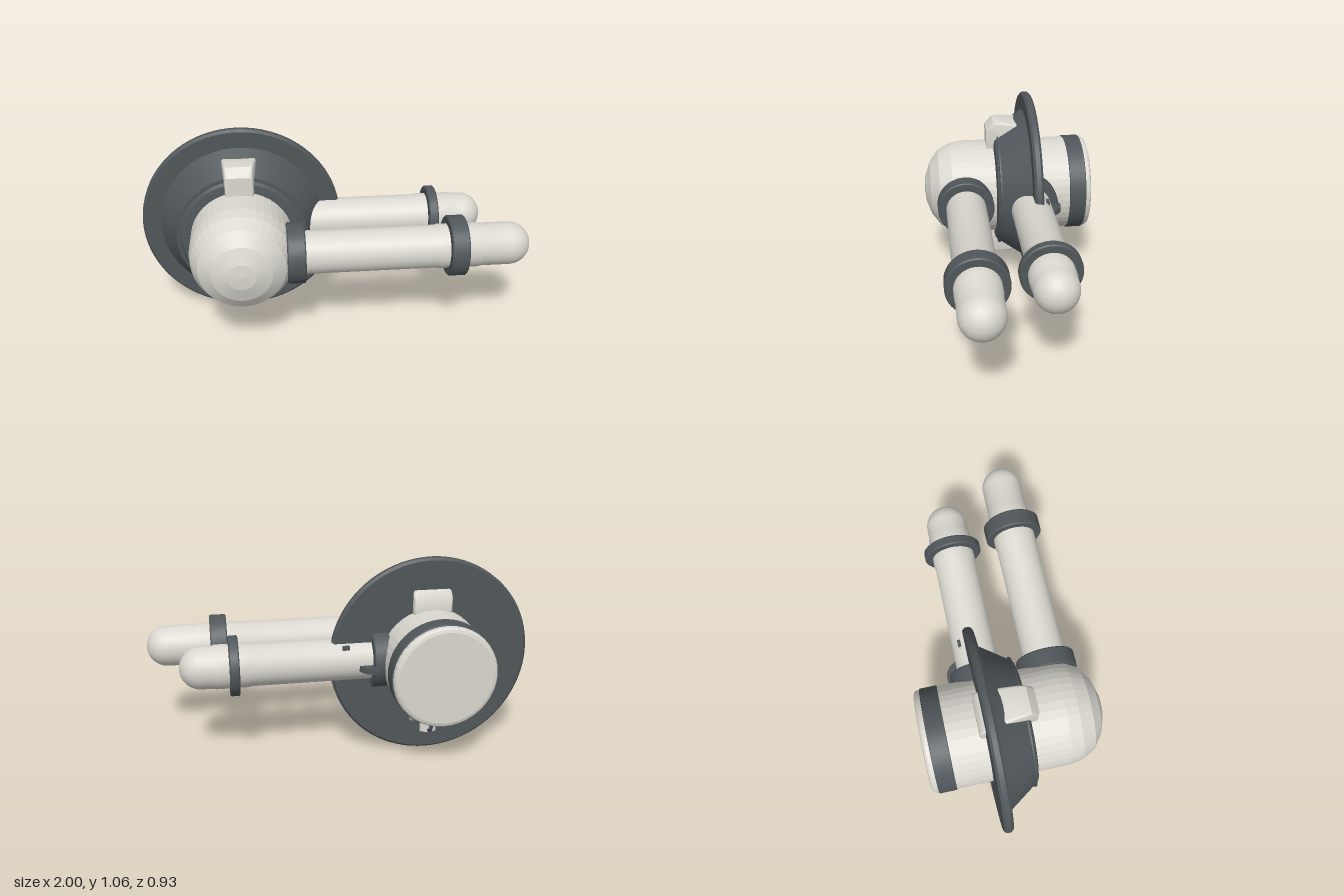
import * as THREE from 'three';
import { toCreasedNormals } from 'three/addons/utils/BufferGeometryUtils.js';

const CX = -0.47, CY = 0.535; // axis of the main body

export function createModel() {
  const light = new THREE.MeshStandardMaterial({ color: 0xdad8d0 });
  light.name = 'pale shell';
  const dark = new THREE.MeshStandardMaterial({ color: 0x50565a });
  dark.name = 'dark trim';
  const group = new THREE.Group();

  const add = (name, geo, mat, parent = group) => {
    const mesh = new THREE.Mesh(geo, mat);
    mesh.name = name;
    parent.add(mesh);
    return mesh;
  };
  // Solid of revolution from [radius, position] pairs, position ascending
  const turned = (pts, segs, crease = 0.6) => toCreasedNormals(
    new THREE.LatheGeometry(pts.map(([r, p]) => new THREE.Vector2(r, p)), segs), crease);
  const alongZ = (name, pts, mat, segs = 64, crease = 0.6) =>
    add(name, turned(pts, segs, crease).rotateX(Math.PI / 2).translate(CX, CY, 0), mat);
  // Disc with softened rims
  const ring = (r, a, b, c = 0.006) => [[0, a], [r - c, a], [r, a + c], [r, b - c], [r - c, b], [0, b]];

  // Main body with faceted dome
  alongZ('body', [[0, -0.465], [0.24, -0.465], [0.255, -0.46], [0.263, -0.45], [0.265, -0.435],
    [0.265, 0.25], [0.254, 0.313], [0.217, 0.383], [0.15, 0.432], [0.07, 0.46], [0, 0.467]],
  light, 40, 0.1);
  alongZ('rearBand', ring(0.27, -0.432, -0.34, 0.003), dark);

  // Flange: flat disc, cone and front lip
  alongZ('flangeDisc', ring(0.53, -0.155, -0.107, 0.012), dark, 80);
  alongZ('flangeCone', [[0, -0.11], [0.435, -0.11], [0.328, 0.045], [0.338, 0.045], [0.338, 0.054],
    [0.322, 0.054], [0.31, 0.066], [0.285, 0.071], [0, 0.071]], dark, 64, 0.3);

  // Two side arms, each with a root collar, outer ring and domed tip
  const makeArm = (name, z, end, ringA, ringB) => {
    const arm = new THREE.Group();
    arm.name = name;
    arm.position.set(0, CY, z);
    group.add(arm);
    const alongX = (part, pts, mat) => add(part, turned(pts, 48).rotateZ(-Math.PI / 2), mat, arm);
    const tip = [];
    for (let i = 0; i <= 12; i++) {
      const a = i / 12 * Math.PI / 2;
      tip.push([0.11 * Math.cos(a), end - 0.11 + 0.11 * Math.sin(a)]);
    }
    alongX('tube', [[0, -0.4], [0.11, -0.4], [0.11, ringA - 0.06], [0.114, ringA - 0.05],
      [0.114, ringB + 0.07], [0.11, ringB + 0.08], ...tip], light);
    alongX('rootCollar', ring(0.155, -0.247, -0.155), dark);
    alongX('outerRing', ring(0.155, ringA, ringB), dark);
    return arm;
  };
  makeArm('frontArm', 0.245, 1.0, 0.57, 0.66);
  const rearArm = makeArm('rearArm', -0.11, 0.825, 0.525, 0.575);

  // Rounded ear and small lug on the rear arm
  const ear = add('collarEar', toCreasedNormals(new THREE.CylinderGeometry(0.08, 0.08, 0.03, 32), 0.6), dark, rearArm);
  ear.position.set(-0.16, -0.016, -0.088);
  add('armLug', new THREE.BoxGeometry(0.036, 0.025, 0.016), dark, rearArm).position.set(-0.018, 0.084, -0.072);

  // Clips that hook over the flange, widening towards the back
  const profile = new THREE.Shape([[-0.098, 0.2], [-0.098, 0.355], [-0.065, 0.392], [-0.02, 0.393],
    [0.07, 0.38], [0.15, 0.355], [0.173, 0.325], [0.173, 0.255], [0.12, 0.2]]
    .map(([x, y]) => new THREE.Vector2(x, y)));
  for (const [name, turn] of [['topClip', 0], ['bottomClip', Math.PI]]) {
    const geo = new THREE.ExtrudeGeometry(profile, {
      depth: 0.116, bevelEnabled: true, bevelSize: 0.012, bevelThickness: 0.012, bevelSegments: 3,
    }).translate(0, 0, -0.058).rotateY(Math.PI / 2);
    const p = geo.attributes.position;
    for (let i = 0; i < p.count; i++) {
      const z = p.getZ(i);
      p.setX(i, p.getX(i) * (1 + (0.11 - z) * 1.65));
    }
    const clip = add(name, toCreasedNormals(geo, 0.7), light);
    clip.position.set(CX, CY, 0);
    // Mirrored in height: half turn about z keeps the faces outward
    clip.rotation.z = turn;
  }

  // Cable under the body: pale stub, dark bend and ribbed plug
  const curve = pts => new THREE.CatmullRomCurve3(pts.map(([y, z]) => new THREE.Vector3(CX, y, z)));
  const stub = new THREE.CylinderGeometry(0.045, 0.045, 0.05, 24).scale(1, 1, 0.5);
  add('cableStub', stub, light).position.set(CX, 0.14, -0.172);
  add('cable', new THREE.TubeGeometry(curve([[0.125, -0.16], [0.125, -0.19], [0.138, -0.222],
    [0.165, -0.237], [0.2, -0.237]]), 24, 0.01, 10), dark);
  const plug = turned([[0, 0.175], [0.014, 0.175], [0.022, 0.19], [0.022, 0.222], [0.014, 0.235],
    [0.014, 0.242], [0.02, 0.245], [0.02, 0.253], [0.014, 0.256], [0.02, 0.259], [0.02, 0.268],
    [0.014, 0.272], [0.014, 0.3], [0, 0.3]], 20);
  add('cablePlug', plug, dark).position.set(CX, 0, -0.238);

  return group;
}
